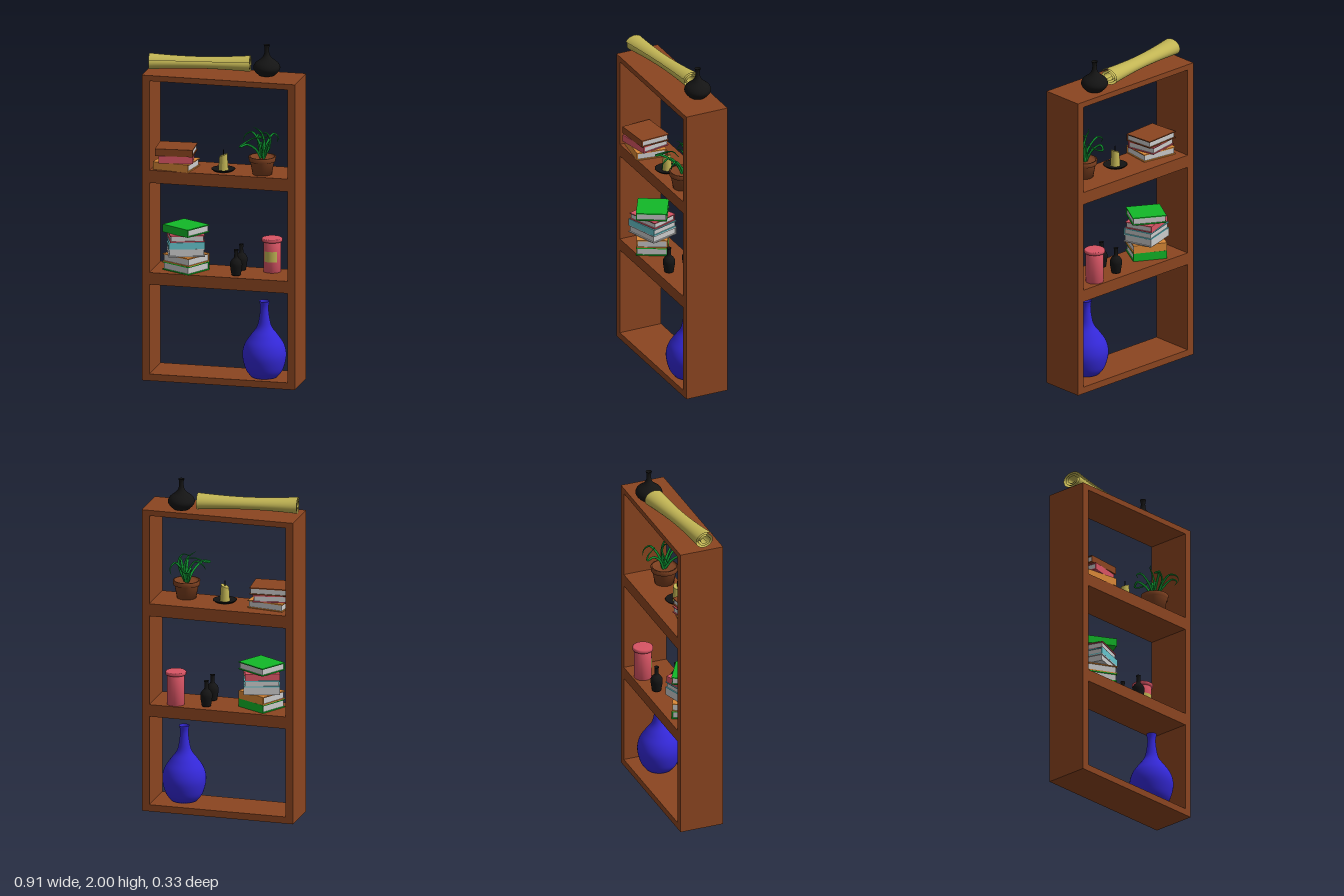
import * as THREE from 'three';

const mat = (color, double = false) =>
  new THREE.MeshStandardMaterial({ color, side: double ? THREE.DoubleSide : THREE.FrontSide });
const WOOD = 0x8b4520, PARCHMENT = 0xc2b554, BLACK = 0x141414, RED = 0xd85464, GREEN = 0x12b828,
  ORANGE = 0xdc8a38, CYAN = 0x66c4cc, GREY = 0xcccccc;

function mesh(name, geometry, color, x = 0, y = 0, z = 0, double = false) {
  const m = new THREE.Mesh(geometry, mat(color, double));
  m.name = name;
  m.position.set(x, y, z);
  return m;
}
const box = (name, w, h, d, color, x, y, z) => mesh(name, new THREE.BoxGeometry(w, h, d), color, x, y, z);

// Turned object: smooth profile of [radius, height] pairs
function turned(name, profile, color, x, y, z, smooth = true) {
  let pts = profile.map(([r, h]) => new THREE.Vector2(r, h));
  if (smooth) pts = [new THREE.Vector2(0, pts[0].y), ...new THREE.SplineCurve(pts).getPoints(40)];
  return mesh(name, new THREE.LatheGeometry(pts, 40), color, x, y, z, true);
}

// Hardback: two boards, a spine on local +z and an inset page block
function book(w, h, d, color) {
  const g = new THREE.Group(), t = 0.006;
  g.name = 'book';
  g.add(box('bottomCover', w, t, d, color, 0, t / 2, 0));
  g.add(box('topCover', w, t, d, color, 0, h - t / 2, 0));
  g.add(box('spine', w, h - 2 * t, t, color, 0, h / 2, d / 2 - t / 2));
  g.add(box('pages', w - 0.012, h - 2 * t, d - t - 0.006, GREY, 0, h / 2, -t / 2 + 0.003));
  return g;
}

// Stack of books, each given as [width, height, depth, colour, turn]
function bookStack(name, x, y, z, list) {
  const g = new THREE.Group();
  g.name = name;
  g.position.set(x, y, z);
  let top = 0;
  for (const [w, h, d, color, turn] of list) {
    const b = book(w, h, d, color);
    b.position.y = top;
    b.rotation.y = turn;
    g.add(b);
    top += h;
  }
  return g;
}

// Rolled sheet: a spiral cross-section swept along x, pinched in the middle
function scroll() {
  const g = new THREE.PlaneGeometry(1, 1, 20, 110), p = g.attributes.position, length = 0.585;
  for (let i = 0; i < p.count; i++) {
    const along = p.getX(i), t = p.getY(i) + 0.5;
    const pinch = 0.74 + 0.26 * Math.pow(Math.abs(2 * along), 1.8);
    const a = 0.45 + t * Math.PI * 5.6, r = (0.052 - 0.034 * t) * pinch;
    p.setXYZ(i, along * length, Math.sin(a) * r, Math.cos(a) * r * 1.25);
  }
  g.computeVertexNormals();
  const m = mesh('scroll', g, PARCHMENT, -0.147, 1.875, -0.052, true);
  m.rotation.y = 0.144;
  return m;
}

// Tapering curled leaf along a smooth path
function leaf(points) {
  const curve = new THREE.CatmullRomCurve3(points.map((q) => new THREE.Vector3(...q)));
  const n = 32, sides = 6, g = new THREE.TubeGeometry(curve, n, 0.0075, sides);
  const p = g.attributes.position, v = new THREE.Vector3();
  for (let i = 0; i < p.count; i++) {
    const u = Math.floor(i / (sides + 1)) / n, c = curve.getPointAt(u);
    v.fromBufferAttribute(p, i).sub(c).multiplyScalar(1 - 0.85 * u ** 3).add(c);
    p.setXYZ(i, v.x, v.y, v.z);
  }
  return mesh('leaf', g, 0x109a34, 0, 0.095, 0, true);
}

function plant() {
  const g = new THREE.Group();
  g.name = 'pottedPlant';
  g.position.set(0.24, 1.255, 0.012);
  g.add(turned('pot', [[0, 0], [0.056, 0], [0.07, 0.078], [0.077, 0.078], [0.079, 0.105], [0.069, 0.105],
    [0.066, 0.09], [0, 0.09]], 0x7d4020, 0, 0, 0, false));
  const paths = [
    [[-0.01, 0, 0], [-0.03, 0.06, 0.04], [-0.07, 0.1, 0.1], [-0.1, 0.09, 0.13], [-0.09, 0.1, 0.085], [-0.03, 0.13, 0.05], [0.03, 0.12, 0.04]],
    [[0.01, 0, 0.01], [0.012, 0.08, 0.05], [0.02, 0.12, 0.1], [0.035, 0.1, 0.145], [0.042, 0.07, 0.15]],
    [[0.01, 0, 0], [0.03, 0.06, 0.03], [0.06, 0.11, 0.08], [0.072, 0.09, 0.108], [0.06, 0.065, 0.1]],
    [[0, 0, -0.01], [-0.02, 0.08, -0.02], [-0.07, 0.14, -0.04], [-0.11, 0.12, -0.04], [-0.12, 0.09, -0.02]],
    [[0, 0, 0], [0.01, 0.09, -0.01], [-0.01, 0.15, -0.01], [-0.04, 0.175, 0], [-0.05, 0.18, 0.015]],
    [[0, 0, -0.01], [0.02, 0.08, -0.03], [0.05, 0.13, -0.07], [0.07, 0.1, -0.1], [0.06, 0.07, -0.11]],
    [[-0.01, 0, -0.01], [-0.03, 0.07, -0.04], [-0.05, 0.11, -0.09], [-0.04, 0.09, -0.12], [0, 0.1, -0.1], [0.02, 0.13, -0.05]],
    [[0.01, 0, 0], [0.04, 0.07, 0], [0.05, 0.12, 0.01], [0.03, 0.155, 0.02], [-0.01, 0.15, 0.03]],
  ];
  for (const path of paths) g.add(leaf(path));
  return g;
}

function candle() {
  const g = new THREE.Group();
  g.name = 'candle';
  g.position.set(0.005, 1.255, -0.003);
  g.add(turned('dish', [[0, 0], [0.055, 0], [0.07, 0.012], [0.067, 0.014], [0.052, 0.006], [0, 0.006]], BLACK, 0, 0, 0, false));
  // Melted wax with a slanted top
  const wax = new THREE.CylinderGeometry(0.023, 0.029, 0.09, 20, 4), p = wax.attributes.position;
  for (let i = 0; i < p.count; i++)
    if (p.getY(i) > 0.04) p.setY(i, p.getY(i) + 0.4 * p.getX(i) - 0.002);
  wax.computeVertexNormals();
  g.add(mesh('wax', wax, PARCHMENT, 0, 0.051, 0));
  g.add(mesh('wick', new THREE.CylinderGeometry(0.003, 0.003, 0.035, 6), BLACK, 0, 0.108, 0));
  return g;
}

function jar() {
  const g = new THREE.Group();
  g.name = 'jar';
  g.position.set(0.268, 0.645, -0.11);
  g.add(turned('jarBody', [[0, 0], [0.051, 0], [0.051, 0.18], [0, 0.18]], RED, 0, 0, 0, false));
  g.add(turned('jarLid', [[0.051, 0.178], [0.06, 0.181], [0.06, 0.196], [0.054, 0.2], [0, 0.2]], RED, 0, 0, 0, false));
  // Curved label on the front
  g.add(mesh('label', new THREE.CylinderGeometry(0.0525, 0.0525, 0.062, 20, 1, true, -0.8, 1.6), PARCHMENT, 0, 0.095, 0, true));
  return g;
}

function bookcase() {
  const g = new THREE.Group();
  g.name = 'bookcase';
  const depth = 0.265, z = -0.038;
  for (const s of [-1, 1]) g.add(box('sidePanel', 0.045, 1.82, depth, WOOD, s * 0.4325, 0.91, z));
  for (const [low, high] of [[0, 0.04], [0.573, 0.645], [1.18, 1.255], [1.787, 1.82]])
    g.add(box('shelf', 0.82, high - low, depth, WOOD, 0, (low + high) / 2, z));
  return g;
}

export function createModel() {
  const model = new THREE.Group();
  model.name = 'furnishedBookcase';
  model.add(bookcase(), scroll(), plant(), candle(), jar());

  // Vases
  model.add(turned('topVase', [[0.045, 0], [0.068, 0.022], [0.078, 0.046], [0.066, 0.072], [0.032, 0.1],
    [0.016, 0.125], [0.013, 0.16], [0.018, 0.18]], BLACK, 0.243, 1.82, -0.083));
  model.add(turned('floorVase', [[0.075, 0], [0.108, 0.045], [0.127, 0.125], [0.115, 0.19], [0.08, 0.245],
    [0.044, 0.295], [0.03, 0.35], [0.024, 0.41], [0.03, 0.45]], 0x3428d8, 0.245, 0.04, -0.018));

  // Pair of small bottles
  for (const z of [0.025, -0.098])
    model.add(turned('smallBottle', [[0.026, 0], [0.033, 0.04], [0.035, 0.07], [0.026, 0.09], [0.013, 0.105],
      [0.011, 0.135], [0.014, 0.152]], BLACK, 0.088, 0.645, z));

  // Book stacks
  model.add(bookStack('middleBooks', -0.222, 0.645, -0.022, [
    [0.2, 0.049, 0.18, GREEN, Math.PI - 0.5],
    [0.2, 0.049, 0.18, ORANGE, Math.PI - 0.48],
    [0.21, 0.046, 0.18, GREY, Math.PI + 0.3],
    [0.21, 0.04, 0.18, CYAN, 0.31],
    [0.2, 0.04, 0.17, RED, Math.PI + 0.35],
    [0.2, 0.046, 0.18, GREEN, -0.52],
  ]));
  model.add(bookStack('upperBooks', -0.275, 1.255, -0.005, [
    [0.22, 0.046, 0.18, ORANGE, -0.14],
    [0.2, 0.042, 0.18, RED, 0.2],
    [0.22, 0.042, 0.18, WOOD, 0.08],
  ]));
  return model;
}
